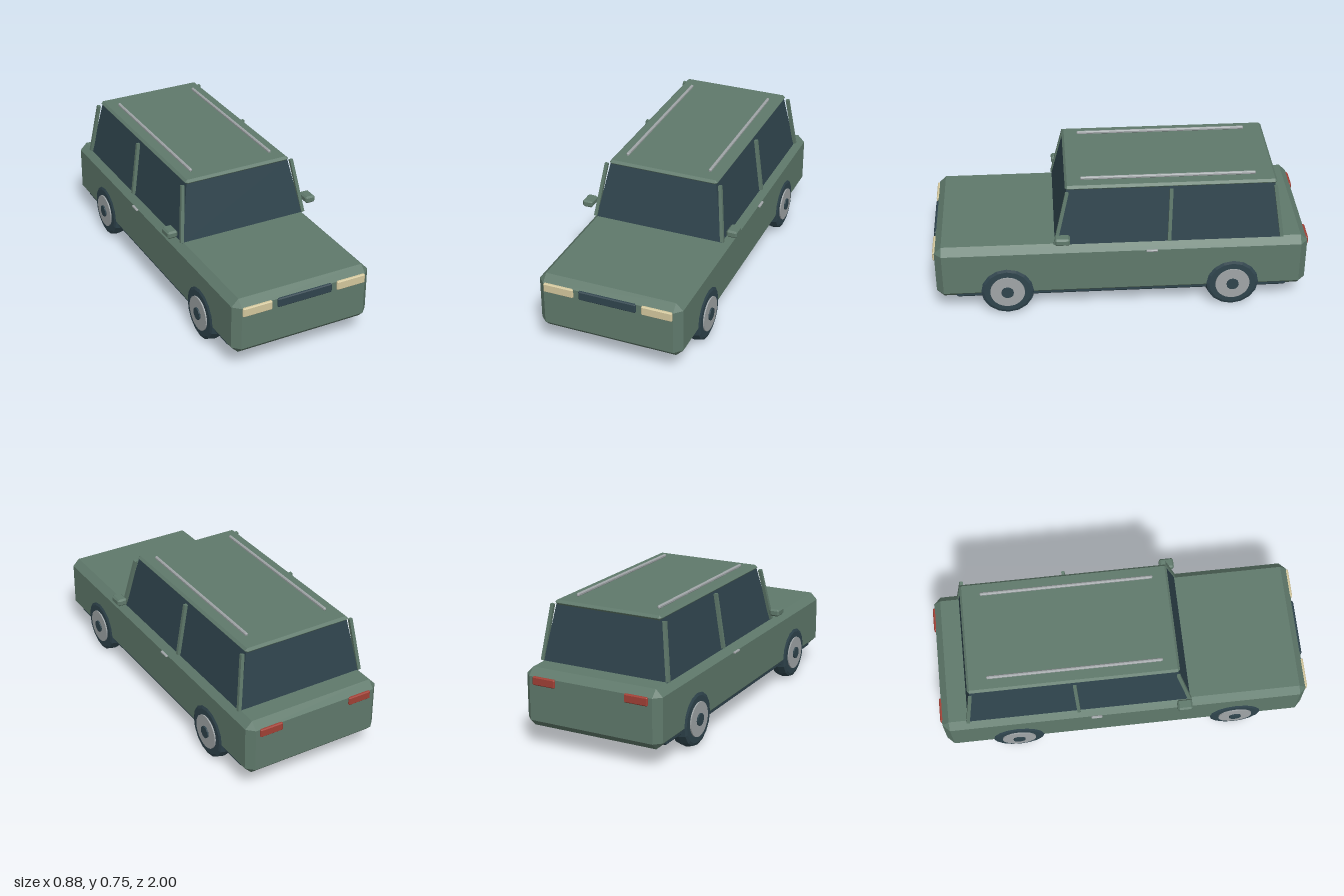
import * as THREE from 'three';
import { ConvexGeometry } from 'three/addons/geometries/ConvexGeometry.js';

const mat = (name, color) => {
  const m = new THREE.MeshStandardMaterial({ color, flatShading: true });
  m.name = name;
  return m;
};

// Box with every edge and corner cut off by c
function chamferBox(w, h, d, c) {
  const pts = [];
  for (const x of [-w / 2, w / 2]) for (const y of [-h / 2, h / 2]) for (const z of [-d / 2, d / 2]) {
    const sx = Math.sign(x) * c, sy = Math.sign(y) * c, sz = Math.sign(z) * c;
    pts.push(
      new THREE.Vector3(x, y - sy, z - sz),
      new THREE.Vector3(x - sx, y, z - sz),
      new THREE.Vector3(x - sx, y - sy, z));
  }
  return new ConvexGeometry(pts);
}

export function createModel() {
  const car = new THREE.Group();
  car.name = 'stationWagon';
  const paint = mat('greenPaint', 0x5f796b);
  const dark = mat('darkGlassAndRubber', 0x2f444d);
  const metal = mat('greyMetal', 0xa0a5a7);
  const cream = mat('headlightCream', 0xd3c79d);
  const red = mat('tailLightRed', 0xa04035);

  const add = (name, geo, material, x = 0, y = 0, z = 0, parent = car) => {
    const m = new THREE.Mesh(geo, material);
    m.name = name;
    m.position.set(x, y, z);
    parent.add(m);
    return m;
  };

  // Body and underbody
  add('body', chamferBox(0.78, 0.312, 1.98, 0.038), paint, 0, 0.264, 0);
  add('underbody', chamferBox(0.75, 0.045, 1.78, 0.012), dark, 0, 0.128, 0);

  // Tapered glass cabin
  const cabin = [];
  for (const s of [-1, 1]) cabin.push(
    new THREE.Vector3(s * 0.357, 0.415, 0.355), new THREE.Vector3(s * 0.357, 0.415, -0.85),
    new THREE.Vector3(s * 0.298, 0.722, 0.285), new THREE.Vector3(s * 0.298, 0.722, -0.805));
  add('cabinGlass', new ConvexGeometry(cabin), dark);
  add('roof', chamferBox(0.61, 0.026, 1.11, 0.012), paint, 0, 0.726, -0.262);

  // Front and rear details
  add('grille', chamferBox(0.31, 0.05, 0.02, 0.005), dark, 0, 0.36, 0.989);
  for (const s of [-1, 1]) {
    add('headlight', chamferBox(0.164, 0.05, 0.02, 0.005), cream, s * 0.267, 0.36, 0.99);
    add('tailLight', chamferBox(0.13, 0.045, 0.02, 0.005), red, s * 0.264, 0.362, -0.99);
  }

  // Slanted pillar between two points
  const pillar = (name, a, b) => {
    const from = new THREE.Vector3(...a), to = new THREE.Vector3(...b);
    const dir = to.clone().sub(from);
    const p = add(name, new THREE.BoxGeometry(0.018, dir.length(), 0.018), paint);
    p.position.copy(from).add(to).multiplyScalar(0.5);
    p.quaternion.setFromUnitVectors(new THREE.Vector3(0, 1, 0), dir.normalize());
  };

  // Wheel profile turned around the axle
  const tyreProfile = [[0, -0.042], [0.125, -0.042], [0.14, -0.036], [0.148, 0],
    [0.14, 0.036], [0.125, 0.042], [0, 0.042]].map(p => new THREE.Vector2(...p));
  const tyreGeo = new THREE.LatheGeometry(tyreProfile, 16);
  const rimGeo = new THREE.CylinderGeometry(0.092, 0.092, 0.012, 32);
  const capGeo = new THREE.CylinderGeometry(0.033, 0.033, 0.014, 12);

  // Parts on both sides
  for (const s of [-1, 1]) {
    pillar('frontPillar', [s * 0.362, 0.422, 0.352], [s * 0.321, 0.715, 0.283]);
    pillar('middlePillar', [s * 0.364, 0.422, -0.25], [s * 0.322, 0.715, -0.26]);
    pillar('rearPillar', [s * 0.362, 0.422, -0.848], [s * 0.321, 0.715, -0.805]);
    add('roofRail', chamferBox(0.016, 0.018, 0.92, 0.005), metal, s * 0.234, 0.746, -0.25);
    add('doorHandle', chamferBox(0.014, 0.011, 0.06, 0.003), metal, s * 0.396, 0.382, -0.157);
    add('sideMirror', chamferBox(0.057, 0.04, 0.08, 0.009), paint, s * 0.412, 0.48, 0.315);

    for (const z of [0.613, -0.593]) {
      const wheel = new THREE.Group();
      wheel.name = z > 0 ? 'frontWheel' : 'rearWheel';
      wheel.position.set(s * 0.354, 0.15, z);
      wheel.rotation.z = -s * Math.PI / 2;
      car.add(wheel);
      add('tyre', tyreGeo, dark, 0, 0, 0, wheel);
      add('rim', rimGeo, metal, 0, 0.043, 0, wheel);
      add('hubCap', capGeo, dark, 0, 0.05, 0, wheel);
    }
  }
  return car;
}
